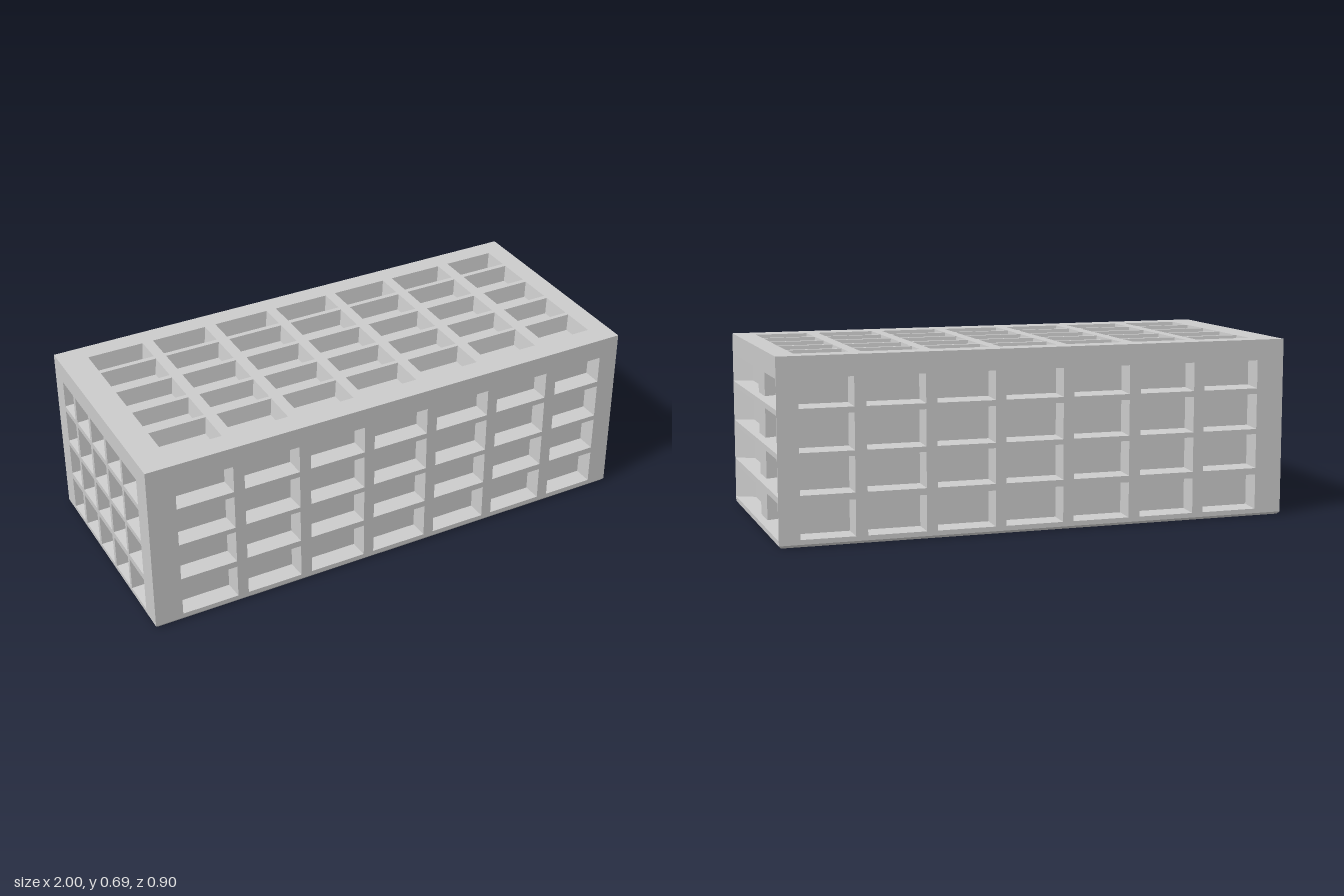
import * as THREE from 'three';

const material = new THREE.MeshStandardMaterial({ color: 0xcccccc, flatShading: true });

// Overall extents and recess depths
const X = 1, Z = 0.45, TOP = 0.695, BASE = 0.01;
const DEPTH = 0.065, END = 0.07, TAPER = 0.008;
const innerX = X - END, innerZ = Z - DEPTH, roofY = TOP - DEPTH;

// Opening intervals along each axis
const cols = [[-0.89, -0.665], [-0.622, -0.4], [-0.355, -0.13], [-0.088, 0.138],
  [0.18, 0.405], [0.447, 0.67], [0.715, 0.92]];
const floors = [[0.028, 0.165], [0.19, 0.325], [0.345, 0.483], [0.505, 0.615]];
const bays = [[-0.37, -0.26], [-0.24, -0.105], [-0.085, 0.05], [0.07, 0.205], [0.222, 0.36]];

const flip = list => list.map(([a, b]) => [-b, -a]);

function polygon(points) {
  return new THREE.Shape(points.map(([x, y]) => new THREE.Vector2(x, y)));
}

function rectangle(x0, x1, y0, y1) {
  return polygon([[x0, y0], [x1, y0], [x1, y1], [x0, y1]]);
}

// Wall panel with a grid of openings that narrow slightly toward the back
function panel(x0, x1, y0, y1, xs, ys, depth) {
  const shape = rectangle(x0, x1, y0, y1);
  for (const [a, b] of xs) for (const [c, d] of ys) shape.holes.push(rectangle(a, b, c, d));
  const geometry = new THREE.ExtrudeGeometry(shape, { depth, bevelEnabled: false });
  const p = geometry.attributes.position;
  const shift = (v, list) => {
    for (const [a, b] of list) {
      if (Math.abs(v - a) < 1e-4) return v + TAPER;
      if (Math.abs(v - b) < 1e-4) return v - TAPER;
    }
    return v;
  };
  for (let i = 0; i < p.count; i++) {
    const x = p.getX(i), y = p.getY(i);
    const onEdge = x < x0 + 1e-4 || x > x1 - 1e-4 || y < y0 + 1e-4 || y > y1 - 1e-4;
    if (p.getZ(i) < 1e-4 && !onEdge) p.setXY(i, shift(x, xs), shift(y, ys));
  }
  geometry.computeVertexNormals();
  return geometry;
}

export function createModel() {
  const model = new THREE.Group();

  const add = (name, geometry, parent = model) => {
    const mesh = new THREE.Mesh(geometry, material);
    mesh.name = name;
    parent.add(mesh);
    return mesh;
  };
  const block = (x0, x1, y0, y1, z0, z1) =>
    new THREE.BoxGeometry(x1 - x0, y1 - y0, z1 - z0)
      .translate((x0 + x1) / 2, (y0 + y1) / 2, (z0 + z1) / 2);

  // Solid core behind the recesses
  add('core', block(-innerX, innerX, BASE, roofY, -innerZ, innerZ));

  // Base with a chamfered lower edge
  const base = block(-X, X, 0, BASE, -Z, Z);
  const p = base.attributes.position;
  for (let i = 0; i < p.count; i++) {
    if (p.getY(i) < BASE / 2) {
      p.setX(i, p.getX(i) - Math.sign(p.getX(i)) * 0.008);
      p.setZ(i, p.getZ(i) - Math.sign(p.getZ(i)) * 0.008);
    }
  }
  base.computeVertexNormals();
  add('base', base);

  // Window walls
  add('frontWall', panel(-X, innerX, BASE, roofY, cols, floors, DEPTH).translate(0, 0, innerZ));
  add('backWall', panel(-innerX, X, BASE, roofY, flip(cols), floors, DEPTH)
    .rotateY(Math.PI).translate(0, 0, -innerZ));
  add('rightEndWall', panel(-innerZ, innerZ, BASE, roofY, bays, floors, END)
    .rotateY(-Math.PI / 2).translate(-innerX, 0, 0));

  // Roof with a grid of shallow pockets
  add('roof', panel(-X, X, -Z, Z, cols, flip(bays), DEPTH)
    .rotateX(-Math.PI / 2).translate(0, roofY, 0));

  // Balcony end: slabs thicken toward the wall
  const balconies = new THREE.Group();
  balconies.name = 'balconies';
  model.add(balconies);
  const slabs = [[BASE, 0.028], [0.165, 0.188], [0.325, 0.345], [0.483, 0.503], [0.615, roofY]];
  slabs.forEach(([y0, y1], i) => {
    const low = i === 0 ? y0 : y0 - 0.007;
    const high = i === slabs.length - 1 ? y1 : y1 + 0.005;
    const shape = polygon([[innerX, low], [X, y0], [X, y1], [innerX, high]]);
    add('balconySlab', new THREE.ExtrudeGeometry(shape, { depth: 2 * Z, bevelEnabled: false })
      .translate(0, 0, -Z), balconies);
  });

  // Slanted cheeks closing the balcony corners
  for (const s of [1, -1]) {
    const cheek = polygon([[innerX, s * innerZ], [X, s * Z], [innerX, s * Z]]);
    add('balconyCheek', new THREE.ExtrudeGeometry(cheek, { depth: roofY - BASE, bevelEnabled: false })
      .rotateX(-Math.PI / 2).translate(0, BASE, 0), balconies);
  }

  // Central pier dividing each balcony
  add('balconyPier', block(innerX, X - 0.03, BASE, roofY, -0.075, 0.05), balconies);

  return model;
}
